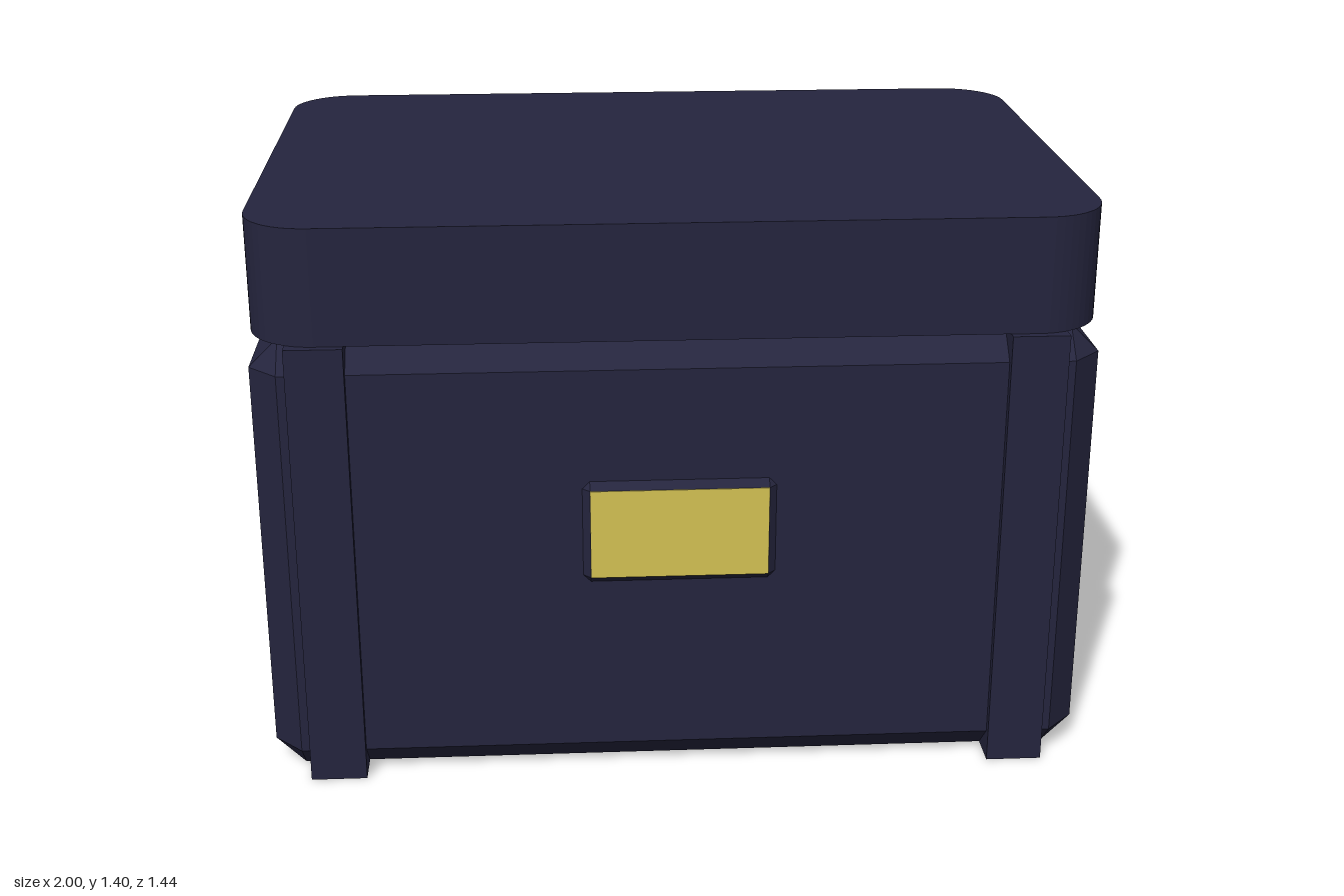
import * as THREE from 'three';
import { ConvexGeometry } from 'three/addons/geometries/ConvexGeometry.js';

const navy = new THREE.MeshStandardMaterial({ color: 0x25253e });
navy.name = 'navy';
const gold = new THREE.MeshStandardMaterial({ color: 0xd4c254 });
gold.name = 'gold';

function part(parent, name, geometry, material, x = 0, y = 0, z = 0) {
  const mesh = new THREE.Mesh(geometry, material);
  mesh.name = name;
  mesh.position.set(x, y, z);
  parent.add(mesh);
  return mesh;
}

// Box with every edge cut at 45 degrees by c
function chamferedBox(w, h, d, c) {
  const points = [];
  for (const sx of [-1, 1]) for (const sy of [-1, 1]) for (const sz of [-1, 1]) {
    const x = w / 2, y = h / 2, z = d / 2;
    points.push(
      new THREE.Vector3(sx * x, sy * (y - c), sz * (z - c)),
      new THREE.Vector3(sx * (x - c), sy * y, sz * (z - c)),
      new THREE.Vector3(sx * (x - c), sy * (y - c), sz * z)
    );
  }
  return new ConvexGeometry(points);
}

// Upright slab with rounded vertical corners, standing on y = 0
function roundedSlab(w, h, d, r) {
  const x = w / 2, y = d / 2;
  const shape = new THREE.Shape();
  shape.absarc(x - r, y - r, r, 0, Math.PI / 2);
  shape.absarc(-x + r, y - r, r, Math.PI / 2, Math.PI);
  shape.absarc(-x + r, -y + r, r, Math.PI, Math.PI * 1.5);
  shape.absarc(x - r, -y + r, r, Math.PI * 1.5, Math.PI * 2);
  const geometry = new THREE.ExtrudeGeometry(shape, { depth: h, bevelEnabled: false, curveSegments: 6 });
  return geometry.rotateX(-Math.PI / 2);
}

export function createModel() {
  const model = new THREE.Group();
  model.name = 'chest';

  part(model, 'body', chamferedBox(2, 1.12, 1.4, 0.07), navy, 0, 0.56, 0);
  part(model, 'lid', roundedSlab(2, 0.28, 1.4, 0.16), navy, 0, 1.12, 0);

  // Square bands wrapping front and back near each end
  for (const side of [-1, 1]) {
    part(model, side > 0 ? 'leftBand' : 'rightBand',
      new THREE.BoxGeometry(0.136, 1.12, 1.44), navy, side * 0.84, 0.56, 0);
  }

  // Bevelled clasp with a gold plate on its face
  part(model, 'clasp', chamferedBox(0.466, 0.264, 0.08, 0.02), navy, 0, 0.642, 0.678);
  part(model, 'claspPlate', new THREE.BoxGeometry(0.425, 0.224, 0.006), gold, 0, 0.642, 0.717);

  return model;
}
